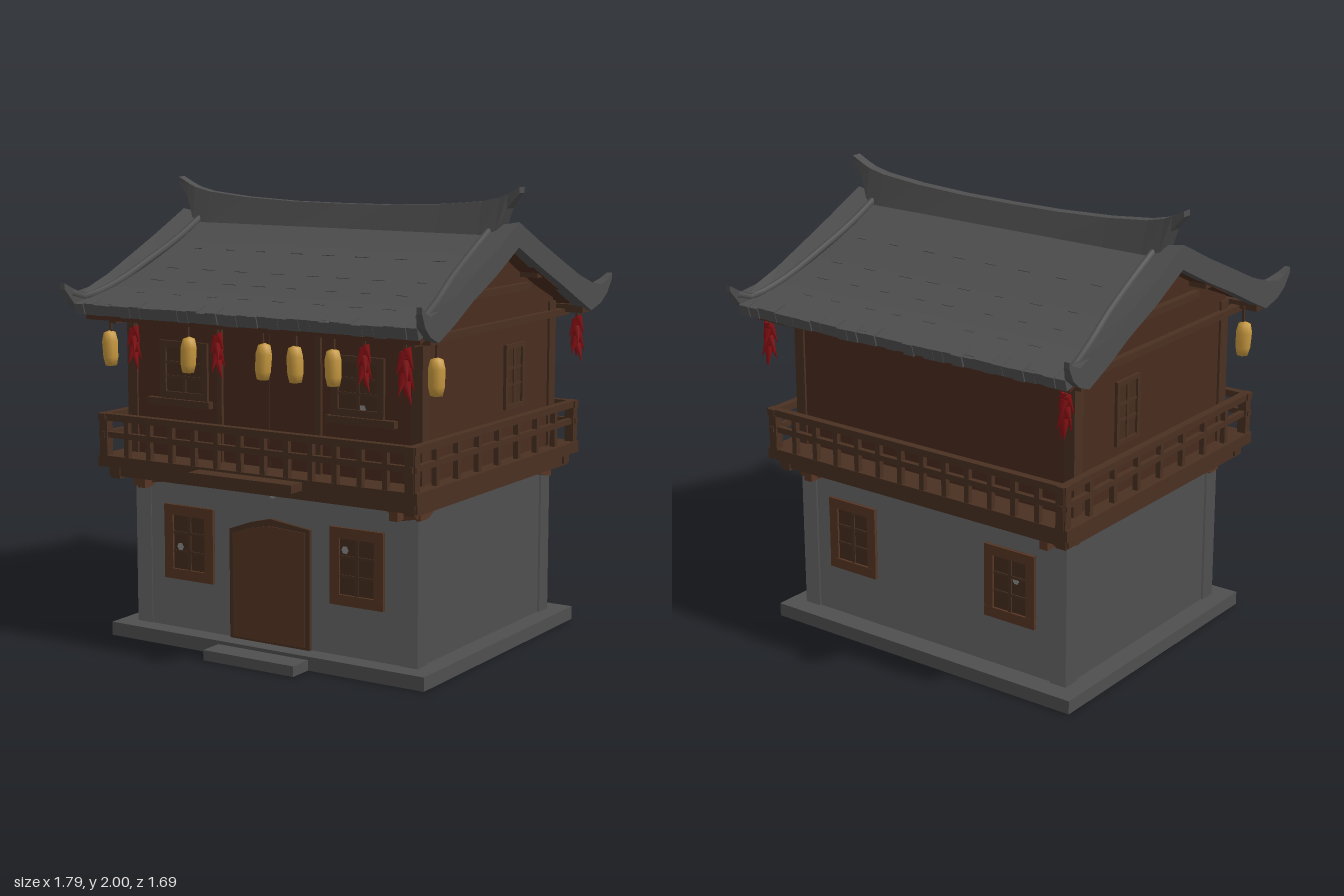
import * as THREE from 'three';

const mat = (name, color, side = THREE.FrontSide) => {
  const m = new THREE.MeshStandardMaterial({ color, side });
  m.name = name;
  return m;
};

export function createModel() {
  const house = new THREE.Group();
  house.name = 'balconyHouse';
  const M = {
    roof: mat('roofTile', 0x4e4e4e, THREE.DoubleSide),
    stone: mat('stone', 0x4f4f4f),
    plaster: mat('plaster', 0x666666),
    wall: mat('darkWood', 0x492c1e),
    wood: mat('wood', 0x493021),
    frame: mat('frameWood', 0x573624),
    pane: mat('paneWood', 0x452d1e),
    corn: mat('cornYellow', 0xc8993f),
    chili: mat('chiliRed', 0x8a1014),
    patch: mat('paleGrey', 0x8c8c8c),
  };
  let seed = 7;
  const rnd = () => (seed = (seed * 16807) % 2147483647) / 2147483647;

  const add = (name, geo, material, parent = house) => {
    const m = new THREE.Mesh(geo, material);
    m.name = name;
    parent.add(m);
    return m;
  };
  // box from its min and max corners
  const box = (name, material, x0, x1, y0, y1, z0, z1, parent) => {
    const g = new THREE.BoxGeometry(x1 - x0, y1 - y0, z1 - z0);
    g.translate((x0 + x1) / 2, (y0 + y1) / 2, (z0 + z1) / 2);
    return add(name, g, material, parent);
  };
  const shape = (pts) => new THREE.Shape(pts.map((p) => new THREE.Vector2(p[0], p[1])));
  const slab = (pts, depth) => new THREE.ExtrudeGeometry(shape(pts), { depth, bevelEnabled: false });
  // extrudes a (z, y) outline along x
  const alongX = (pts, half) => slab(pts, half * 2).translate(0, 0, -half).rotateY(-Math.PI / 2);
  // skins four-cornered cross-sections, with end caps
  const loft = (sections) => {
    const pos = [];
    const quad = (a, b, c, d) => pos.push(...a, ...b, ...c, ...a, ...c, ...d);
    for (let i = 0; i + 1 < sections.length; i++) {
      const s = sections[i], t = sections[i + 1];
      for (let k = 0; k < 4; k++) quad(s[k], s[(k + 1) % 4], t[(k + 1) % 4], t[k]);
    }
    quad(...[...sections[0]].reverse());
    quad(...sections[sections.length - 1]);
    const g = new THREE.BufferGeometry();
    g.setAttribute('position', new THREE.Float32BufferAttribute(pos, 3));
    g.computeVertexNormals();
    return g;
  };

  // base, step and lower storey, darker on the two ends
  const shell = [M.stone, M.stone, M.plaster, M.plaster, M.plaster, M.plaster];
  box('baseSlab', M.stone, -0.8, 0.8, 0, 0.06, -0.69, 0.65);
  box('doorStep', M.stone, -0.22, 0.24, 0, 0.045, 0.6, 0.76);
  box('lowerWalls', shell, -0.71, 0.71, 0.05, 0.78, -0.59, 0.56);
  for (const x of [-1, 1]) for (const z of [0.525, -0.56])
    box('cornerPillar', shell, x * 0.68 - 0.04, x * 0.68 + 0.04, 0.05, 0.76, z - 0.04, z + 0.04);

  // ragged timber trim above the plaster
  const trim = (half) => {
    const pts = [[-half, 0.78]];
    const n = 18;
    for (let i = 0; i <= n; i++) {
      const edge = i < 2 || i > n - 2 ? 0.03 : 0;
      pts.push([-half + (2 * half * i) / n, 0.7 + rnd() * 0.025 - edge]);
    }
    pts.push([half, 0.78]);
    return slab(pts, 0.02);
  };
  add('frontTrim', trim(0.72), M.frame).position.z = 0.56;
  add('backTrim', trim(0.72), M.frame).position.z = -0.61;
  for (const s of [-1, 1]) {
    const m = add('sideTrim', trim(0.58), M.frame);
    m.rotation.y = (s * Math.PI) / 2;
    m.position.set(s * 0.71, 0, -0.015);
  }
  add('trimPatch', new THREE.CircleGeometry(0.02, 6), M.patch).position.set(0.02, 0.715, 0.583);

  // windows: two columns of three panes, facing +z
  const windowAt = (w, h, b, border, x, y, z, turn = 0, patchAt = null) => {
    const g = new THREE.Group();
    g.name = 'window';
    const a = w / 2, c = h / 2;
    box('pane', M.pane, -a, a, -c, c, 0, 0.004, g);
    for (const s of [-1, 1]) {
      const u = s * (a - b / 2), v = s * (c - b / 2), m = s * c * 0.25;
      box('frameSide', border, u - b / 2, u + b / 2, -c, c, 0, 0.014, g);
      box('frameRail', border, -a, a, v - b / 2, v + b / 2, 0, 0.015, g);
      box('crossBar', M.wood, -a + b, a - b, m - 0.006, m + 0.006, 0, 0.009, g);
    }
    box('middleBar', M.wood, -0.008, 0.008, -c + b, c - b, 0, 0.01, g);
    if (patchAt) add('tornPaper', new THREE.CircleGeometry(0.018, 6), M.patch, g).position.set(...patchAt, 0.006);
    g.position.set(x, y, z);
    g.rotation.y = turn;
    house.add(g);
  };
  for (const s of [-1, 1]) {
    windowAt(0.26, 0.33, 0.045, M.frame, s * 0.43, 0.445, 0.56, 0, s > 0 ? [-0.06, 0.07] : [-0.05, -0.02]);
    windowAt(0.26, 0.33, 0.045, M.frame, s * 0.43, 0.445, -0.59, Math.PI, s < 0 ? [0.03, 0.03] : null);
    windowAt(0.25, 0.25, 0.03, M.wood, s * 0.44, 1.205, 0.57, 0, s > 0 ? [0.02, -0.09] : null);
    windowAt(0.17, 0.28, 0.02, M.wood, s * 0.735, 1.18, -0.205, (s * Math.PI) / 2);
    box('windowSill', M.wood, s * 0.46 - 0.165, s * 0.46 + 0.165, 1.05, 1.08, 0.56, 0.6);
  }

  // front door with a crooked arched head
  add('doorFrame', slab([[-0.21, 0.06], [0.2, 0.06], [0.2, 0.58], [0, 0.605], [-0.1, 0.58], [-0.21, 0.54]], 0.016), M.wood).position.z = 0.56;
  add('door', slab([[-0.19, 0.07], [0.175, 0.07], [0.175, 0.565], [0, 0.575], [-0.1, 0.555], [-0.19, 0.525]], 0.006), M.frame).position.z = 0.574;

  // upper storey with gables
  add('upperWalls', alongX([[-0.58, 0.8], [0.57, 0.8], [0.57, 1.5], [0.4, 1.57], [0.2, 1.66], [0, 1.76],
    [-0.2, 1.66], [-0.4, 1.57], [-0.58, 1.5]], 0.735), M.wall);
  for (const x of [-1, 1]) {
    for (const z of [0.55, -0.56])
      box('cornerPost', M.wood, x * 0.72 - 0.025, x * 0.72 + 0.025, 0.8, 1.47, z - 0.03, z + 0.03);
    box('doorPost', M.wood, x * 0.25 - 0.012, x * 0.25 + 0.012, 0.82, 1.42, 0.56, 0.585);
    box('gableTie', M.wood, x * 0.745 - 0.02, x * 0.745 + 0.02, 1.4, 1.43, -0.68, 0.68);
    box('gableBeam', M.wood, x * 0.745 - 0.02, x * 0.745 + 0.02, 1.545, 1.575, -0.3, 0.3);
  }
  box('upperDoor', M.wall, -0.235, 0.235, 0.83, 1.4, 0.565, 0.574);
  box('upperDoorSeam', M.pane, -0.003, 0.003, 0.83, 1.4, 0.57, 0.577);

  // balcony floor, beams and brackets
  box('balconyFloor', M.wood, -0.805, 0.805, 0.775, 0.825, -0.72, 0.72);
  box('balconyLedge', M.wood, -0.26, 0.26, 0.78, 0.815, 0.7, 0.8);
  for (const s of [-1, 1]) {
    box('longBeam', M.wood, -0.78, 0.78, 0.73, 0.78, s * 0.65 - 0.025, s * 0.65 + 0.025);
    box('crossBeam', M.wood, s * 0.745 - 0.025, s * 0.745 + 0.025, 0.72, 0.78, -0.68, 0.68);
    for (const z of [0.6, -0.62])
      box('bracket', M.frame, s * 0.64 - 0.02, s * 0.64 + 0.02, 0.68, 0.78, z - 0.03, z + 0.03);
  }

  // railing on all four sides
  const railing = (half, count, dist, turn) => {
    const g = new THREE.Group();
    g.name = 'railing';
    box('topRail', M.wood, -half, half, 0.98, 1.01, dist - 0.018, dist + 0.018, g);
    box('middleRail', M.wood, -half, half, 0.905, 0.93, dist - 0.012, dist + 0.012, g);
    for (let i = 0; i <= count; i++) {
      const x = (half - 0.03) * ((2 * i) / count - 1);
      const r = i === 0 || i === count ? 0.02 : 0.012;
      box('baluster', M.wood, x - r, x + r, 0.82, 1, dist - r, dist + r, g);
    }
    g.rotation.y = turn;
    house.add(g);
  };
  railing(0.8, 13, 0.705, 0);
  railing(0.8, 13, 0.705, Math.PI);
  railing(0.73, 8, 0.775, Math.PI / 2);
  railing(0.73, 8, 0.775, -Math.PI / 2);

  // curved roof with a timber lining below it
  const slope = [[0, 1.83], [0.2, 1.725], [0.4, 1.63], [0.6, 1.55], [0.79, 1.495]];
  const band = (top, bottom, cut) => {
    const half = slope.map(([z, y]) => [Math.min(z, cut), y]);
    const all = [...half.slice(1).reverse().map(([z, y]) => [-z, y]), ...half];
    return [...all.map(([z, y]) => [z, y + top]), ...all.reverse().map(([z, y]) => [z, y + bottom])];
  };
  add('roofTiles', alongX(band(0, -0.05, 0.79), 0.85), M.roof);
  add('roofLining', alongX(band(-0.048, -0.075, 0.75), 0.83), M.wall);
  const yAt = (z) => {
    const i = Math.max(1, slope.findIndex((p) => p[0] >= z));
    const [a, b] = [slope[i - 1], slope[i]];
    return a[1] + ((b[1] - a[1]) * (z - a[0])) / (b[0] - a[0]);
  };
  for (const s of [-1, 1]) {
    box('eaveBeam', M.wood, -0.85, 0.85, 1.415, 1.45, s * 0.67 - 0.03, s * 0.67 + 0.03);
    box('purlin', M.wood, -0.82, 0.82, 1.6, 1.635, s * 0.28 - 0.02, s * 0.28 + 0.02);
    // uneven eave tiles
    for (let i = 0; i < 34; i++) {
      const t = add('eaveTile', new THREE.BoxGeometry(0.052, 0.045 + rnd() * 0.008, 0.07), M.roof);
      t.position.set(-0.825 + i * 0.05, 1.475 + rnd() * 0.005, s * (0.766 + rnd() * 0.012));
      t.rotation.x = s * 0.28;
    }
    // slightly lifted tile edges
    for (const z of [0.25, 0.41, 0.52, 0.64]) for (let i = 0; i < 8; i++) {
      const t = add('tileEdge', new THREE.BoxGeometry(0.04 + rnd() * 0.03, 0.004, 0.014), M.roof);
      t.position.set(-0.62 + i * 0.175 + rnd() * 0.04, yAt(z) + 0.001, s * z);
      t.rotation.x = s * 0.42;
    }
  }

  // gable caps: [z, bottom, top, inner x, outer x], sweeping up to the corner tips
  const cap = [[0, 1.75, 1.855, 0.735, 0.865], [0.2, 1.65, 1.755, 0.74, 0.87], [0.4, 1.56, 1.665, 0.76, 0.87],
    [0.55, 1.485, 1.595, 0.785, 0.875], [0.68, 1.425, 1.55, 0.81, 0.875], [0.76, 1.455, 1.535, 0.83, 0.885],
    [0.81, 1.495, 1.555, 0.85, 0.89], [0.845, 1.555, 1.58, 0.87, 0.895]];
  for (const sx of [-1, 1]) for (const sz of [-1, 1]) {
    add('gableCap', loft(cap.map(([z, b, t, xi, xo]) => [
      [sx * (z < 0.7 ? 0.81 : xi), b, sz * z], [sx * xo, b, sz * z],
      [sx * xo, t, sz * z], [sx * xi, t - (z < 0.7 ? 0.022 : 0), sz * z]])), M.roof);
    const curve = new THREE.CatmullRomCurve3(cap.slice(0, 7).map(([z, , t, xi]) => new THREE.Vector3(sx * (xi + 0.01), t - 0.018, sz * z)));
    add('capRib', new THREE.TubeGeometry(curve, 14, 0.016, 6), M.roof);
  }

  // ridge with upturned ends: [x, bottom, top, half width at the bottom]
  const ridgeHalf = [[0.25, 1.79, 1.907, 0.06], [0.5, 1.79, 1.918, 0.06], [0.7, 1.79, 1.937, 0.06],
    [0.78, 1.82, 1.955, 0.05], [0.82, 1.91, 1.972, 0.03], [0.875, 1.975, 2, 0.022]];
  const ridge = [...ridgeHalf.map(([x, ...r]) => [-x, ...r]).reverse(), [0, 1.79, 1.905, 0.06], ...ridgeHalf];
  add('ridge', loft(ridge.map(([x, b, t, w]) => [[x, b, -w], [x, b, w], [x, t, 0.024], [x, t, -0.024]])), M.roof);

  // hanging corn bundles and chili strings
  const string = (x, z) => box('string', M.wood, x - 0.005, x + 0.005, 1.35, 1.43, z - 0.005, z + 0.005);
  const cornProfile = [[0, 0], [0.026, 0.004], [0.034, 0.04], [0.036, 0.11], [0.027, 0.148], [0, 0.158]]
    .map((p) => new THREE.Vector2(p[0], p[1]));
  for (const x of [-0.79, -0.375, 0.01, 0.175, 0.36, 0.84]) {
    const c = add('cornBundle', new THREE.LatheGeometry(cornProfile, 7), M.corn);
    c.position.set(x, 1.205, 0.635);
    c.rotation.z = (rnd() - 0.5) * 0.15;
    string(x, 0.635);
  }
  for (const [x, z, size] of [[-0.62, 0.69, 1.1], [-0.18, 0.69, 1.1], [0.54, 0.69, 1.1], [0.73, 0.69, 1.3],
    [0.8, -0.69, 1.2], [-0.77, -0.69, 1.2]]) {
    const g = new THREE.Group();
    g.name = 'chiliString';
    for (let i = 0; i < 9; i++) {
      const a = i * 2.4;
      const c = add('chili', new THREE.ConeGeometry(0.015, 0.075, 5).rotateX(Math.PI), M.chili, g);
      c.position.set(Math.cos(a) * 0.017, -0.03 - i * 0.013, Math.sin(a) * 0.017);
      c.rotation.set(-Math.sin(a) * 0.35, 0, Math.cos(a) * 0.35);
    }
    g.position.set(x, 1.39, z);
    g.scale.setScalar(size);
    house.add(g);
    string(x, z);
  }
  return house;
}
